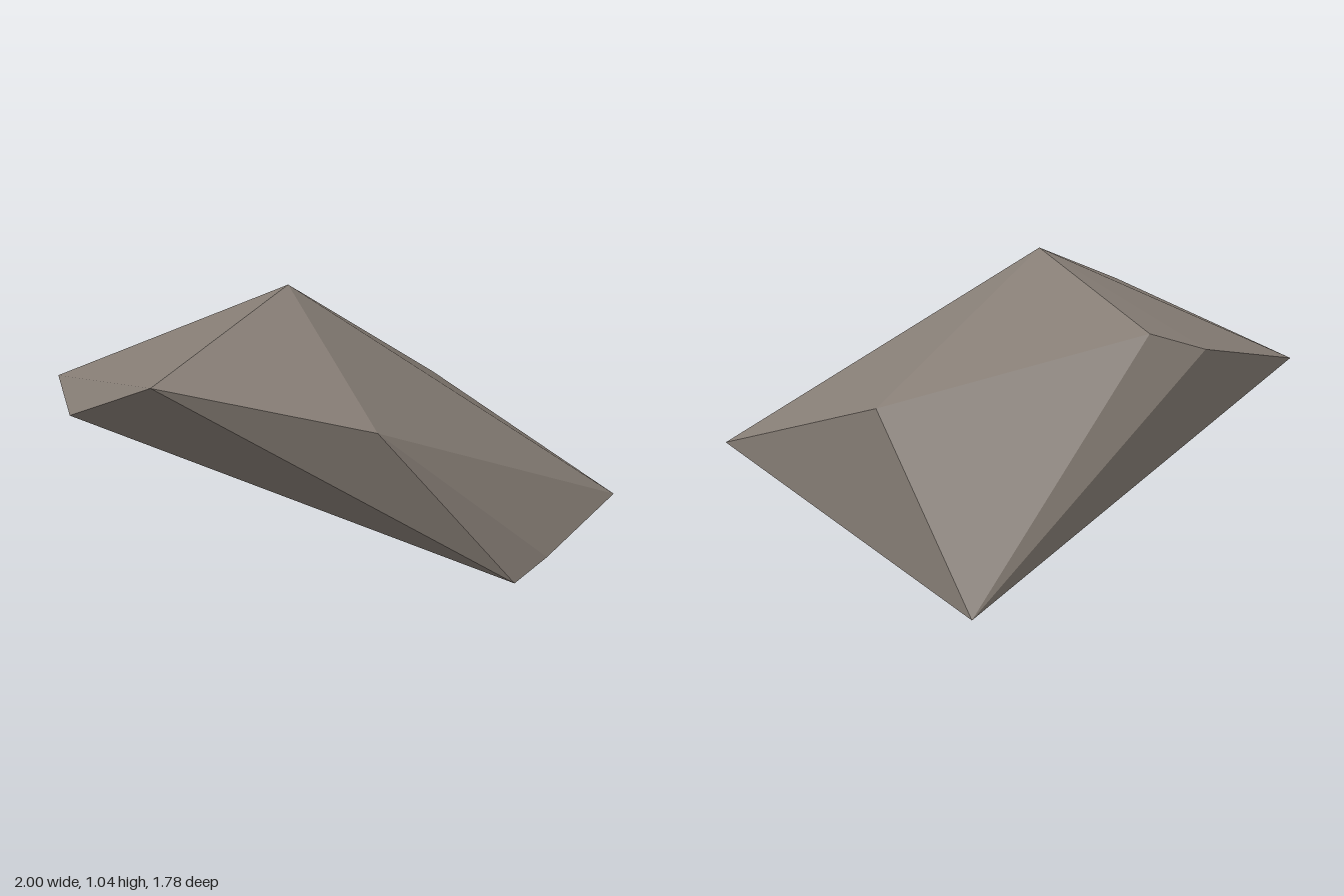
import * as THREE from 'three';
import { ConvexGeometry } from 'three/addons/geometries/ConvexGeometry.js';

export function createModel() {
  const group = new THREE.Group();
  group.name = 'rock';

  const stone = new THREE.MeshStandardMaterial({ color: 0x857c74, flatShading: true });
  stone.name = 'warm grey stone';

  // Corners of the faceted boulder
  const corners = [
    [-0.12, 1.04, 0.07],   // peak
    [-0.17, 0.85, 0.89],   // front overhang
    [0.46, 0.715, 0.62],   // front shoulder
    [-1.0, 0.66, 0.27],    // side tip
    [-0.71, 0.62, 0.59],   // underside of side tip
    [-0.62, 0.80, -0.25],  // upper back ridge
    [-0.78, 0.74, -0.13],  // lower back ridge
    [0.15, 0.58, -0.70],   // back shoulder
    [1.0, 0.30, -0.31],    // low side tip
    [0.89, 0.22, 0.18],    // low side edge
    [0.82, 0.165, 0.31],   // low front corner
    [-0.26, 0, -0.89],     // foot
  ].map((p) => new THREE.Vector3(...p));

  const boulder = new THREE.Mesh(new ConvexGeometry(corners), stone);
  boulder.name = 'boulder';
  group.add(boulder);
  return group;
}
